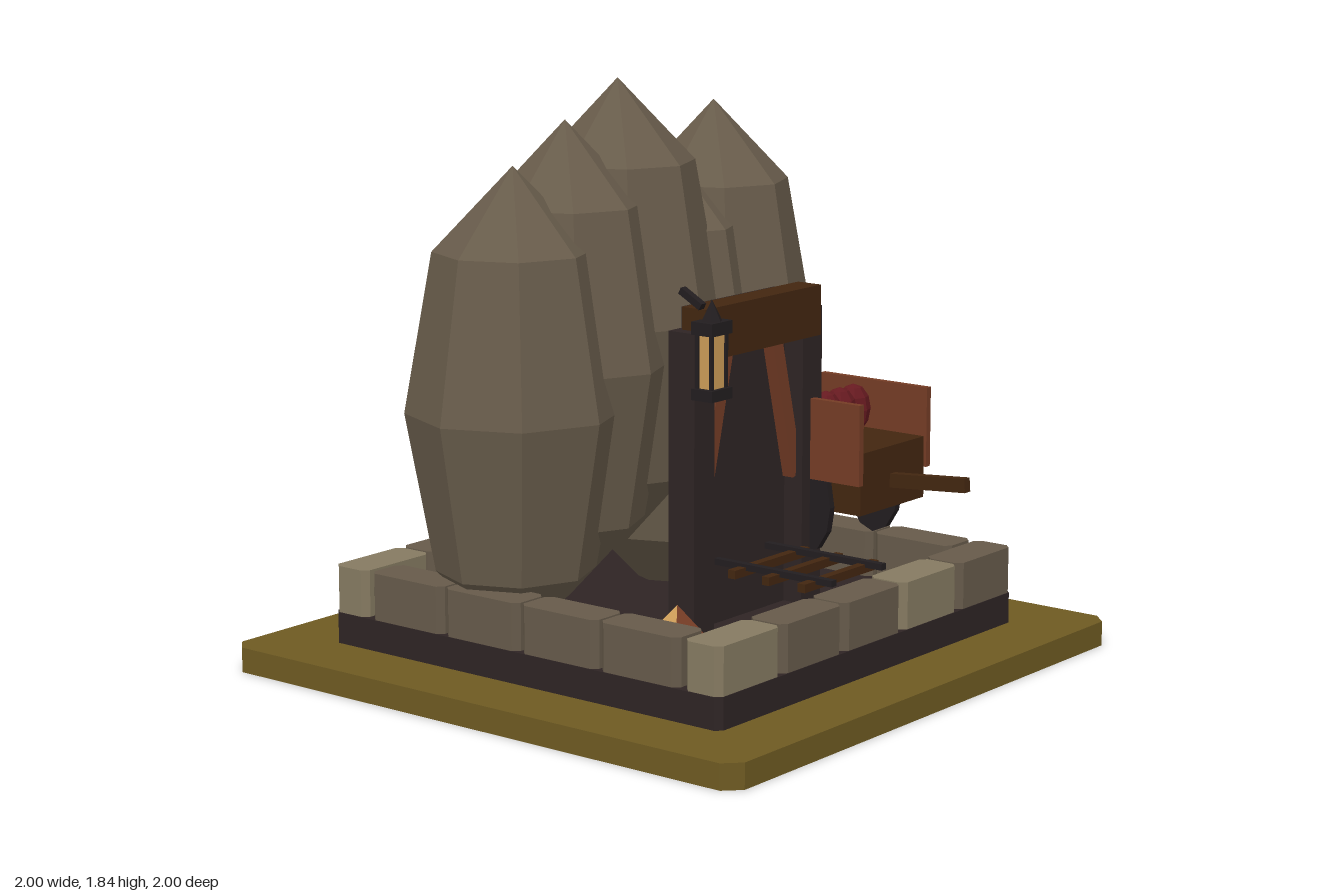
import * as THREE from 'three';

const mat = (name, color) => {
  const m = new THREE.MeshStandardMaterial({ color, flatShading: true });
  m.name = name;
  return m;
};

export function createModel() {
  const olive = mat('olive ground', 0x6e5a22);
  const dark = mat('dark timber', 0x2e2424);
  const stone = mat('stone', 0x665a4a);
  const paleStone = mat('pale stone', 0x857a61);
  const rock = mat('rock', 0x685c4b);
  const brown = mat('brown wood', 0x422610);
  const copper = mat('copper wood', 0x743c25);
  const gold = mat('gold', 0xcc9c58);
  const red = mat('red', 0x661a20);
  const iron = mat('black iron', 0x221d1f);

  const model = new THREE.Group();
  const add = (name, geo, material, x = 0, y = 0, z = 0) => {
    const mesh = new THREE.Mesh(geo, material);
    mesh.name = name;
    mesh.position.set(x, y, z);
    model.add(mesh);
    return mesh;
  };
  // box given by its minimum and maximum corners
  const box = (name, m, x0, x1, y0, y1, z0, z1) =>
    add(name, new THREE.BoxGeometry(x1 - x0, y1 - y0, z1 - z0), m,
      (x0 + x1) / 2, (y0 + y1) / 2, (z0 + z1) / 2);
  // flat slab with cut corners, standing on y = 0
  const slab = (w, d, h, c) => {
    const a = w / 2, b = d / 2;
    const pts = [[a - c, -b], [a, c - b], [a, b - c], [a - c, b],
      [c - a, b], [-a, b - c], [-a, c - b], [c - a, -b]];
    const shape = new THREE.Shape(pts.map(p => new THREE.Vector2(...p)));
    return new THREE.ExtrudeGeometry(shape, { depth: h, bevelEnabled: false }).rotateX(-Math.PI / 2);
  };

  // ground and plinth
  add('ground', slab(2, 2, 0.08, 0.05), olive);
  add('plinth', slab(1.54, 1.54, 0.1, 0.02), dark, 0, 0.08);

  // ring of border stones
  for (const s of [-1, 1]) {
    for (let i = 0; i < 5; i++) {
      add('borderStone', slab(0.298, 0.135, 0.15, 0.02), i % 3 ? stone : paleStone,
        (i - 2) * 0.309, 0.18, s * 0.7);
    }
    for (let i = 0; i < 4; i++) {
      add('sideStone', slab(0.135, 0.298, 0.15, 0.02), stone,
        s * 0.7, 0.18, (i - 1.5) * 0.309);
    }
  }

  // tall faceted rocks
  const profile = [[0, -0.76], [0.25, -0.5], [0.34, 0], [0.25, 0.5], [0, 0.76]]
    .map(p => new THREE.Vector2(...p));
  const rockGeo = new THREE.LatheGeometry(profile, 8);
  [[-0.5, 0.85, -0.24], [-0.26, 0.97, -0.235], [-0.01, 1.08, -0.23], [0.235, 0.85, -0.24], [0.48, 0.97, -0.23]]
    .forEach(([x, y, z]) => {
      const r = add('rock', rockGeo, rock, x, y, z);
      if (x > -0.4) r.scale.x = 0.96;
    });

  // mine gate
  box('doorPanel', dark, -0.24, 0.23, 0.18, 1.19, 0.21, 0.26);
  for (const x of [-0.28, 0.27]) box('gatePost', dark, x - 0.05, x + 0.05, 0.18, 1.13, 0.23, 0.33);
  box('lintel', brown, -0.29, 0.3, 1.04, 1.2, 0.25, 0.34);
  for (const s of [-1, 1]) {
    const brace = add('brace', new THREE.BoxGeometry(0.05, 0.46, 0.04), copper, s * 0.18 - 0.005, 0.82, 0.285);
    brace.rotation.z = s * 0.24;
  }

  // lantern
  const lx = -0.29, lz = 0.365;
  box('lanternBase', iron, lx - 0.05, lx + 0.05, 0.93, 0.965, lz - 0.04, lz + 0.04);
  box('lanternGlass', gold, lx - 0.032, lx + 0.032, 0.965, 1.135, lz - 0.025, lz + 0.025);
  for (const sx of [-1, 1]) for (const sz of [-1, 1]) {
    box('lanternBar', iron, lx + sx * 0.035 - 0.006, lx + sx * 0.035 + 0.006, 0.96, 1.14,
      lz + sz * 0.026 - 0.005, lz + sz * 0.026 + 0.005);
  }
  box('lanternCap', iron, lx - 0.05, lx + 0.05, 1.13, 1.17, lz - 0.04, lz + 0.04);
  add('lanternRoof', new THREE.ConeGeometry(0.036, 0.07, 6), iron, lx, 1.2, lz);
  const hook = add('lanternHook', new THREE.BoxGeometry(0.024, 0.022, 0.09), iron, lx, 1.23, 0.29);
  hook.rotation.x = 0.5;

  // track
  for (const x of [-0.13, 0.13]) box('rail', iron, x - 0.012, x + 0.012, 0.37, 0.39, 0.19, 0.71);
  for (const z of [0.37, 0.5, 0.635]) box('sleeper', brown, -0.195, 0.19, 0.353, 0.38, z - 0.014, z + 0.014);

  // cart
  box('cartBody', brown, 0.285, 0.635, 0.48, 0.68, 0.105, 0.51);
  box('cartSide', copper, 0.262, 0.285, 0.58, 0.84, 0.1, 0.52);
  box('cartSide', copper, 0.633, 0.655, 0.58, 0.84, 0.1, 0.52);
  for (const x of [0.275, 0.65]) {
    const wheel = add('cartWheel', new THREE.CylinderGeometry(1, 1, 0.026, 12).rotateZ(Math.PI / 2), iron, x, 0.495, 0.31);
    wheel.scale.set(1, 0.16, 0.1);
  }
  const handle = add('cartHandle', new THREE.BoxGeometry(0.03, 0.045, 0.3), brown, 0.46, 0.578, 0.645);
  handle.rotation.x = -0.08;
  for (const x of [0.385, 0.46, 0.535]) {
    const bundle = add('redBundle', new THREE.SphereGeometry(1, 8, 6), red, x, 0.76, 0.3);
    bundle.scale.set(0.062, 0.082, 0.055);
  }

  // ore heap with one bright face
  const face = Math.PI * 2 / 5, start = Math.PI * 1.5 - face / 2;
  add('oreHeap', new THREE.ConeGeometry(0.17, 0.16, 4, 1, true, start + face, face * 4), copper, -0.5, 0.26, 0.4);
  add('oreHeapBrightFace', new THREE.ConeGeometry(0.17, 0.16, 1, 1, true, start, face), gold, -0.5, 0.26, 0.4);

  return model;
}
